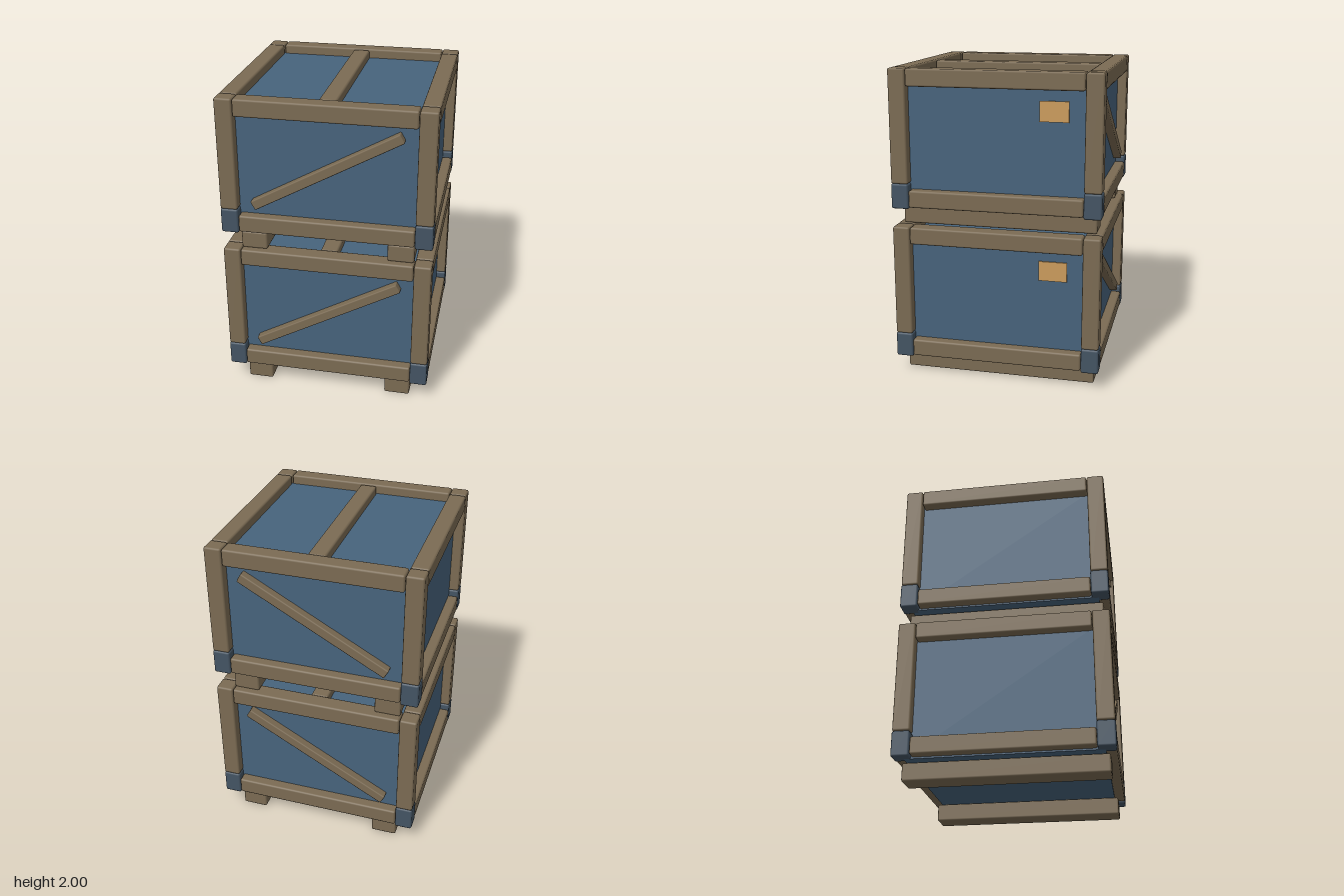
import * as THREE from 'three';
import { RoundedBoxGeometry } from 'three/addons/geometries/RoundedBoxGeometry.js';

function material(name, color) {
  const m = new THREE.MeshStandardMaterial({ color });
  m.name = name;
  return m;
}

export function createModel() {
  const wood = material('wood', 0x7b6b53);
  const blue = material('blue panel', 0x47637c);
  const slate = material('slate bracket', 0x445463);
  const amber = material('amber label', 0xcc9c5c);

  // Bevelled bar given by its size and centre
  function bar(parent, name, mat, size, pos, radius = 0.012) {
    const geometry = radius
      ? new RoundedBoxGeometry(...size, 1, radius)
      : new THREE.BoxGeometry(...size);
    const mesh = new THREE.Mesh(geometry, mat);
    mesh.name = name;
    mesh.position.set(...pos);
    parent.add(mesh);
    return mesh;
  }

  function createCrate() {
    const crate = new THREE.Group();
    const edge = 0.61; // centre line of the frame
    const w = 0.11; // frame bar width

    // Recessed body
    bar(crate, 'body', blue, [1.2, 0.82, 1.2], [0, 0.53, 0], 0);

    // Corner posts and their brackets
    for (const x of [-edge, edge]) {
      for (const z of [-edge, edge]) {
        bar(crate, 'cornerPost', wood, [w, 0.72, w], [x, 0.64, z]);
        bar(crate, 'cornerBracket', slate, [w + 0.002, 0.16, w + 0.002], [x, 0.2, z]);
      }
    }

    // Top and bottom rails on all four sides
    for (const s of [-1, 1]) {
      for (const y of [0.185, 0.945]) {
        bar(crate, 'crossRail', wood, [1.105, w, w], [0, y, s * edge]);
        bar(crate, 'sideRail', wood, [w, w, 1.105], [s * edge, y, 0]);
      }
      // Diagonal brace, front and back
      const brace = bar(crate, 'diagonalBrace', wood, [1.053, 0.063, 0.06], [0, 0.566, s * 0.622], 0.008);
      brace.rotation.z = 0.508;
      // Skid under the crate
      bar(crate, 'skid', wood, [0.167, 0.114, 1.25], [s * 0.467, 0.058, 0]);
    }

    // Lid batten
    bar(crate, 'lidBatten', wood, [w, 0.07, 1.105], [0, 0.96, 0]);

    // Label on the left side
    bar(crate, 'label', amber, [0.009, 0.125, 0.18], [0.6045, 0.758, -0.36], 0);
    return crate;
  }

  // Two stacked crates
  const model = new THREE.Group();
  model.name = 'stackedCrates';
  ['lowerCrate', 'upperCrate'].forEach((name, i) => {
    const crate = createCrate();
    crate.name = name;
    crate.position.y = i;
    model.add(crate);
  });
  return model;
}
